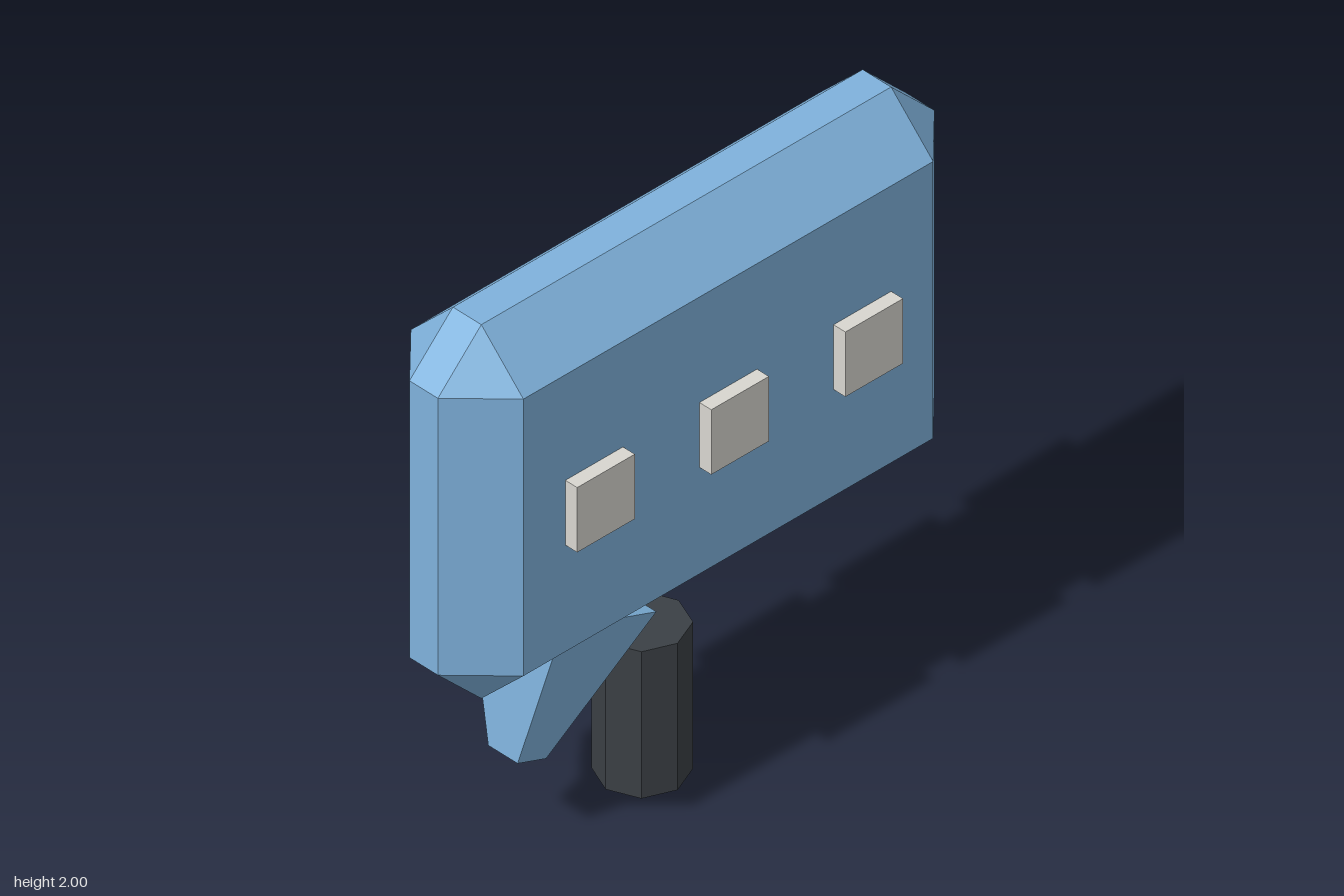
import * as THREE from 'three';
import { ConvexGeometry } from 'three/addons/geometries/ConvexGeometry.js';

const flat = (name, color) => new THREE.MeshStandardMaterial({ name, color, flatShading: true });

// Box with all edges cut at 45 degrees and triangular corners
function chamferedBox(hx, hy, hz, c) {
  const points = [];
  for (const x of [-1, 1]) for (const y of [-1, 1]) for (const z of [-1, 1]) {
    points.push(
      new THREE.Vector3(x * hx, y * (hy - c), z * (hz - c)),
      new THREE.Vector3(x * (hx - c), y * hy, z * (hz - c)),
      new THREE.Vector3(x * (hx - c), y * (hy - c), z * hz)
    );
  }
  return new ConvexGeometry(points);
}

export function createModel() {
  const group = new THREE.Group();
  const blue = flat('blue', 0x7fb2dc);
  const grey = flat('lightGrey', 0xd8d6d0);
  const dark = flat('charcoal', 0x3b4045);

  const add = (name, geometry, material, x, y, z) => {
    const mesh = new THREE.Mesh(geometry, material);
    mesh.name = name;
    mesh.position.set(x, y, z);
    group.add(mesh);
    return mesh;
  };

  // Main slab
  add('body', chamferedBox(1, 0.675, 0.234, 0.175), blue, 0, 1.325, 0);

  // Three square blocks through the slab, standing proud front and back
  const block = new THREE.BoxGeometry(0.232, 0.234, 0.05);
  for (const x of [-0.54, 0, 0.54]) {
    for (const side of [-1, 1]) add('dotBlock', block, grey, x, 1.327, side * 0.258);
  }

  // Tilted, tapering square tail
  const tailGeometry = new THREE.CylinderGeometry(0.2 * Math.SQRT2, 0.061 * Math.SQRT2, 0.523, 4);
  tailGeometry.rotateY(Math.PI / 4);
  const tail = add('tail', tailGeometry, blue, -0.534, 0.566, 0);
  tail.rotation.z = -0.349;

  // Octagonal post
  add('post', new THREE.CylinderGeometry(0.147, 0.147, 0.53, 8), dark, -0.12, 0.265, 0);

  return group;
}
